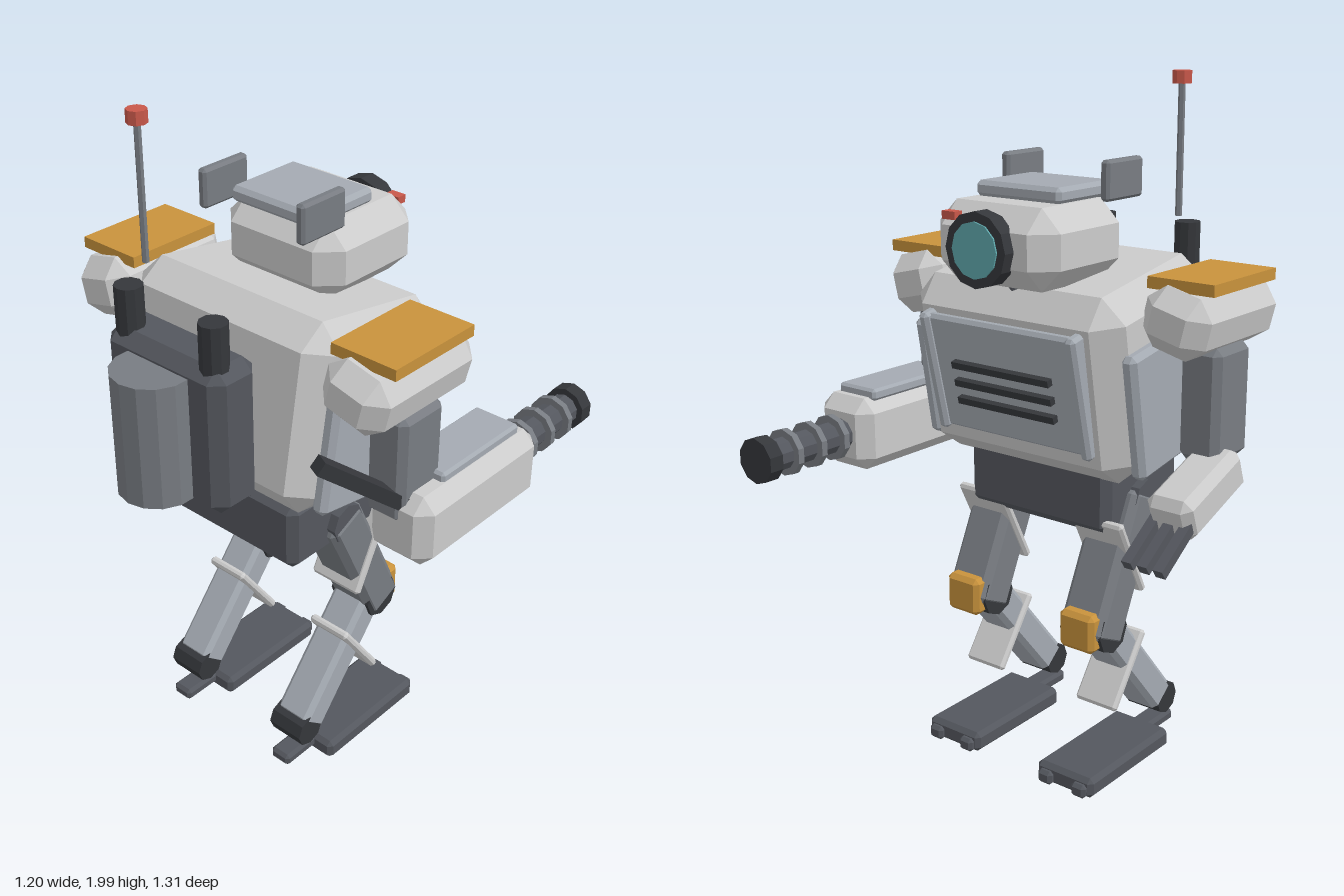
import * as THREE from 'three';
import { ConvexGeometry } from 'three/addons/geometries/ConvexGeometry.js';

const mat = (color) => new THREE.MeshStandardMaterial({ color, flatShading: true });
const LIGHT = mat(0xcccccc), MID = mat(0xa4aab2), STEEL = mat(0x787c82), DARK = mat(0x54575e);
const BLACK = mat(0x35373b), ORANGE = mat(0xc8923c), RED = mat(0xc8584a), TEAL = mat(0x5fa8ac);

// Box with every edge cut at 45 degrees
function chamferBox(w, h, d, c) {
  const pts = [];
  for (const x of [-w / 2, w / 2]) for (const y of [-h / 2, h / 2]) for (const z of [-d / 2, d / 2]) {
    const sx = Math.sign(x) * c, sy = Math.sign(y) * c, sz = Math.sign(z) * c;
    pts.push(new THREE.Vector3(x, y - sy, z - sz), new THREE.Vector3(x - sx, y, z - sz),
      new THREE.Vector3(x - sx, y - sy, z));
  }
  return new ConvexGeometry(pts);
}

function add(parent, name, geometry, material, x, y, z, rx = 0, rz = 0) {
  const mesh = new THREE.Mesh(geometry, material);
  mesh.name = name;
  mesh.position.set(x, y, z);
  mesh.rotation.set(rx, 0, rz);
  parent.add(mesh);
  return mesh;
}

const box = (p, name, m, [w, h, d, c], [x, y, z], rx, rz) =>
  add(p, name, c ? chamferBox(w, h, d, c) : new THREE.BoxGeometry(w, h, d), m, x, y, z, rx, rz);

// Cylinder along 'x', 'y' or 'z'
const cyl = (p, name, m, r, len, axis, [x, y, z], sides = 10) =>
  add(p, name, new THREE.CylinderGeometry(r, r, len, sides), m, x, y, z,
    axis === 'z' ? Math.PI / 2 : 0, axis === 'x' ? Math.PI / 2 : 0);

function group(parent, name, x = 0, y = 0, z = 0, rx = 0) {
  const g = new THREE.Group();
  g.name = name;
  g.position.set(x, y, z);
  g.rotation.x = rx;
  parent.add(g);
  return g;
}

function buildTorso(root) {
  const torso = group(root, 'torso', 0, 1.22, 0.085, -0.17);
  box(torso, 'hull', LIGHT, [0.72, 0.54, 0.52, 0.07], [0, 0, 0]);
  // Front panel with side rails and louvres
  const panel = group(torso, 'frontPanel', 0, 0.01, -0.265, -0.06);
  box(panel, 'panelPlate', MID, [0.52, 0.35, 0.03, 0.01], [0, 0, 0]);
  for (const s of [-1, 1]) {
    box(panel, 'panelRail', MID, [0.035, 0.36, 0.06, 0.01], [s * 0.255, 0, 0]);
    box(torso, 'sidePanel', MID, [0.05, 0.36, 0.42, 0.015], [s * 0.365, -0.06, 0]);
  }
  for (let i = 0; i < 3; i++)
    box(panel, 'louvre', BLACK, [0.34, 0.02, 0.025], [0, 0.04 - i * 0.055, -0.022]);
  box(root, 'pelvis', DARK, [0.508, 0.21, 0.36, 0.025], [0, 0.855, 0.12]);
}

function buildHead(root) {
  const head = group(root, 'head');
  cyl(head, 'neck', DARK, 0.1, 0.12, 'y', [0, 1.45, -0.06]);
  box(head, 'skull', LIGHT, [0.414, 0.22, 0.38, 0.062], [0, 1.57, -0.085]);
  box(head, 'roofPlate', MID, [0.29, 0.045, 0.247, 0.012], [0, 1.7, -0.017]);
  for (const s of [-1, 1])
    box(head, 'headFin', STEEL, [0.03, 0.11, 0.165, 0.008], [s * 0.172, 1.727, 0.102]);
  cyl(head, 'eyeRing', BLACK, 0.102, 0.05, 'z', [0, 1.568, -0.285], 12);
  cyl(head, 'eyeLens', TEAL, 0.076, 0.02, 'z', [0, 1.568, -0.305], 12);
  box(head, 'indicator', RED, [0.045, 0.022, 0.03], [0.118, 1.645, -0.265]);
}

function buildBackpack(root) {
  const pack = group(root, 'backpack');
  box(pack, 'packBody', DARK, [0.42, 0.43, 0.16, 0.035], [0, 1.235, 0.443]);
  cyl(pack, 'tank', STEEL, 0.112, 0.355, 'y', [0, 1.232, 0.54], 14);
  for (const s of [-1, 1])
    cyl(pack, 'exhaust', BLACK, 0.039, 0.15, 'y', [s * 0.152, 1.49, 0.47]);
  cyl(pack, 'antennaRod', STEEL, 0.01, 0.38, 'y', [-0.171, 1.782, 0.39], 6);
  cyl(pack, 'antennaTip', RED, 0.028, 0.036, 'y', [-0.171, 1.982, 0.39], 8);
}

function buildArms(root) {
  for (const s of [-1, 1]) {
    const arm = group(root, s > 0 ? 'leftArm' : 'rightArm');
    box(arm, 'shoulder', LIGHT, [0.205, 0.175, 0.425, 0.05], [s * 0.452, 1.39, 0.122], 0, -s * 0.24);
    box(arm, 'shoulderPlate', ORANGE, [0.205, 0.032, 0.31], [s * 0.459, 1.487, 0.117]);
    box(arm, 'upperArm', STEEL, [0.125, 0.32, 0.17, 0.02], [s * 0.478, 1.155, 0.117]);
  }
  // Hand with three fingers
  const hand = group(root, 'rightHand');
  box(hand, 'forearm', LIGHT, [0.142, 0.125, 0.29, 0.025], [-0.513, 0.938, -0.015], -0.35);
  for (const i of [-1, 0, 1])
    box(hand, 'finger', DARK, [0.03, 0.03, 0.17], [-0.513 + i * 0.049, 0.838, -0.19], -0.6);
  // Cannon with cooling rings
  const gun = group(root, 'leftCannon', 0.513, 0.977, 0);
  box(gun, 'cannonHousing', LIGHT, [0.205, 0.215, 0.525, 0.04], [0, 0, -0.067]);
  box(gun, 'cannonCover', MID, [0.145, 0.035, 0.34, 0.008], [-0.012, 0.115, -0.1]);
  cyl(gun, 'barrel', DARK, 0.047, 0.32, 'z', [-0.005, 0, -0.48]);
  for (const z of [-0.37, -0.457, -0.545])
    cyl(gun, 'barrelRing', STEEL, 0.068, 0.02, 'z', [-0.005, 0, z]);
  cyl(gun, 'muzzle', BLACK, 0.066, 0.045, 'z', [-0.005, 0, -0.633]);
  // Feed strut from the backpack side to the cannon
  const a = new THREE.Vector3(0.43, 1.23, 0.385), b = new THREE.Vector3(0.525, 1.01, 0.12);
  const strut = box(root, 'feedStrut', BLACK, [0.045, 0.04, a.distanceTo(b)], [0, 0, 0]);
  strut.position.copy(a).lerp(b, 0.5);
  strut.lookAt(b);
}

function buildLeg(root, s) {
  const leg = group(root, s > 0 ? 'leftLeg' : 'rightLeg', s * 0.212);
  cyl(leg, 'hip', DARK, 0.06, 0.14, 'x', [0, 0.83, 0.1], 8);
  box(leg, 'thigh', STEEL, [0.15, 0.45, 0.135, 0.02], [0, 0.645, 0.012], 0.44);
  box(leg, 'thighBand', LIGHT, [0.175, 0.26, 0.025, 0.008], [0, 0.68, 0.01], -0.47);
  cyl(leg, 'knee', BLACK, 0.065, 0.142, 'x', [0, 0.475, -0.06], 8);
  box(leg, 'kneeCap', ORANGE, [0.12, 0.115, 0.055, 0.014], [0, 0.485, -0.123]);
  box(leg, 'shin', MID, [0.12, 0.42, 0.1, 0.015], [0, 0.305, 0.098], -0.7);
  box(leg, 'shinBand', LIGHT, [0.142, 0.25, 0.025, 0.008], [0, 0.318, 0.028], 0.615);
  cyl(leg, 'ankle', BLACK, 0.05, 0.118, 'x', [0, 0.14, 0.245], 8);
  // Foot with two toes and a heel spur
  box(leg, 'sole', DARK, [0.2, 0.062, 0.4, 0.014], [0, 0.039, 0.0]);
  for (const t of [-1, 1])
    box(leg, 'toe', DARK, [0.05, 0.042, 0.12, 0.01], [t * 0.06, 0.032, -0.157]);
  box(leg, 'heel', DARK, [0.07, 0.038, 0.14, 0.01], [0, 0.045, 0.25]);
}

export function createModel() {
  const model = new THREE.Group();
  model.name = 'walkerRobot';
  const root = group(model, 'robot', -0.016, -0.004, 0);
  buildTorso(root);
  buildHead(root);
  buildBackpack(root);
  buildArms(root);
  for (const s of [-1, 1]) buildLeg(root, s);
  return model;
}
